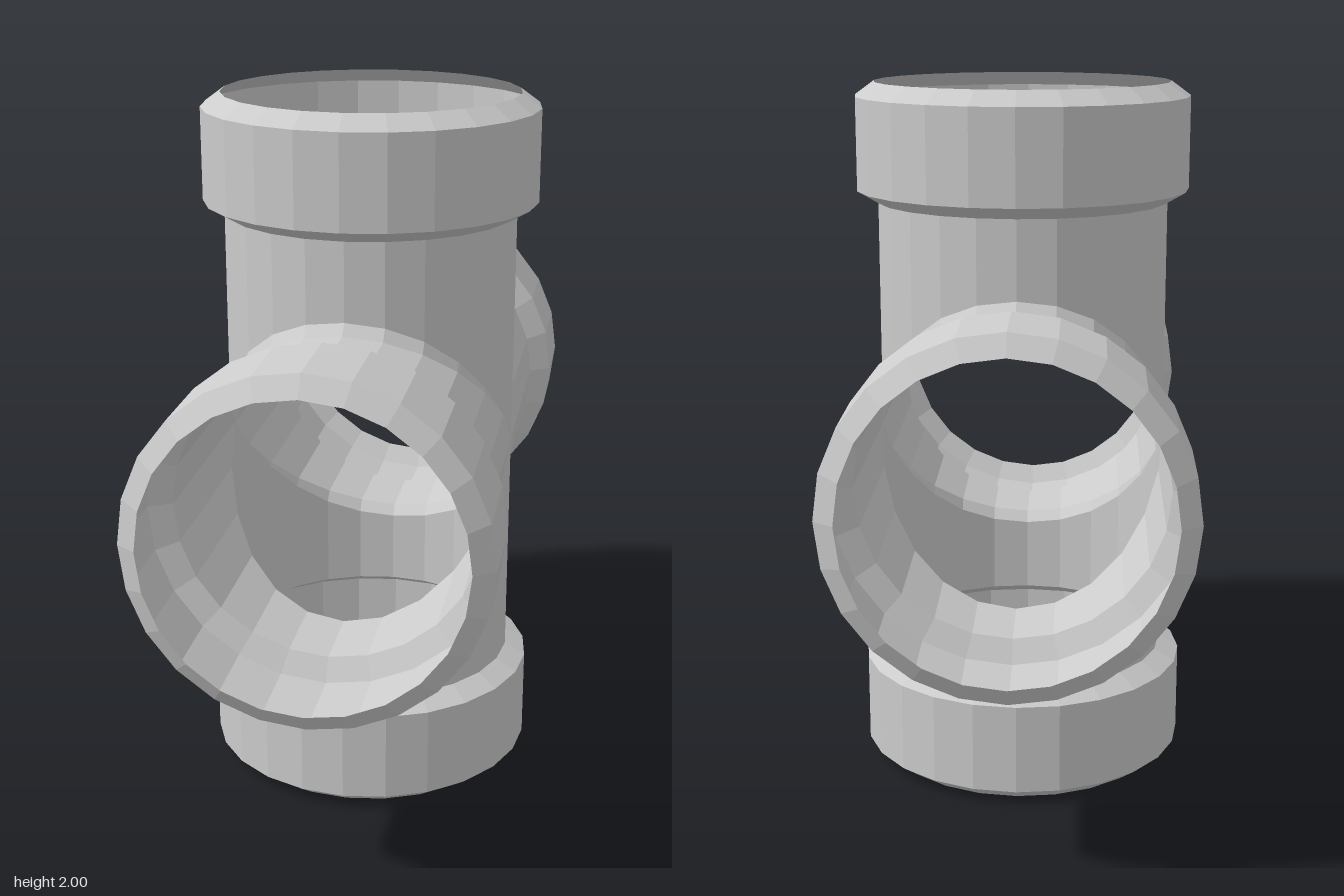
import * as THREE from 'three';

const SIDES = 24;
const PIPE_R = 0.415, SOCKET_R = 0.475, RIM_R = 0.42;
const BEVEL = 0.03; // bevel width where neighbouring arms meet

const material = new THREE.MeshStandardMaterial({
  color: 0xcccccc, flatShading: true, side: THREE.DoubleSide,
});

// Stitches rings of SIDES points into an open shell
function loft(rings) {
  const index = [];
  for (let j = 0; j < rings.length - 1; j++) {
    for (let i = 0; i < SIDES; i++) {
      const n = (i + 1) % SIDES;
      const a = j * SIDES + i, b = j * SIDES + n;
      index.push(a, a + SIDES, b, b, a + SIDES, b + SIDES);
    }
  }
  const geometry = new THREE.BufferGeometry();
  geometry.setAttribute('position', new THREE.Float32BufferAttribute(rings.flat(2), 3));
  geometry.setIndex(index);
  geometry.computeVertexNormals();
  return geometry;
}

// One ring around y, each point placed by a rule of its angle
function ring(rule) {
  return Array.from({ length: SIDES }, (_, i) => rule((i / SIDES) * Math.PI * 2));
}

const circle = (r, y) => ring((a) => [r * Math.cos(a), y, r * Math.sin(a)]);

// Mitred pipe: its inner end follows the plane y = |z|, with a bevel growing towards the crotch
function pipeGeometry() {
  const mitre = (a) => {
    const x = PIPE_R * Math.cos(a), z = PIPE_R * Math.sin(a);
    const u = Math.abs(z);
    return { x, z, u, bevel: BEVEL * THREE.MathUtils.smoothstep(u, 0.08, PIPE_R) };
  };
  const seam = ring((a) => {
    const { x, z, u, bevel } = mitre(a);
    const m = u + bevel / 2;
    return [x, m, Math.sign(z) * m];
  });
  const bevelTop = ring((a) => {
    const { x, z, u, bevel } = mitre(a);
    return [x, u + bevel, z];
  });
  return loft([seam, bevelTop, circle(PIPE_R, 0.665)]);
}

// Wider socket with chamfered shoulder and rim, open at the end
function socketGeometry(length) {
  return loft([
    circle(PIPE_R, 0.665),
    circle(SOCKET_R, 0.7),
    circle(SOCKET_R, length - 0.04),
    circle(RIM_R, length),
  ]);
}

export function createModel() {
  const model = new THREE.Group();
  model.name = 'crossPipeFitting';
  const pipe = pipeGeometry();

  // Four arms in the y-z plane
  ['topArm', 'frontArm', 'bottomArm', 'backArm'].forEach((name, k) => {
    const arm = new THREE.Group();
    arm.name = name;
    const tube = new THREE.Mesh(pipe, material);
    tube.name = 'pipe';
    const socket = new THREE.Mesh(socketGeometry(k % 2 ? 0.993 : 1), material);
    socket.name = 'socket';
    arm.add(tube, socket);
    arm.rotation.x = (k * Math.PI) / 2;
    arm.position.y = 1;
    model.add(arm);
  });
  return model;
}
